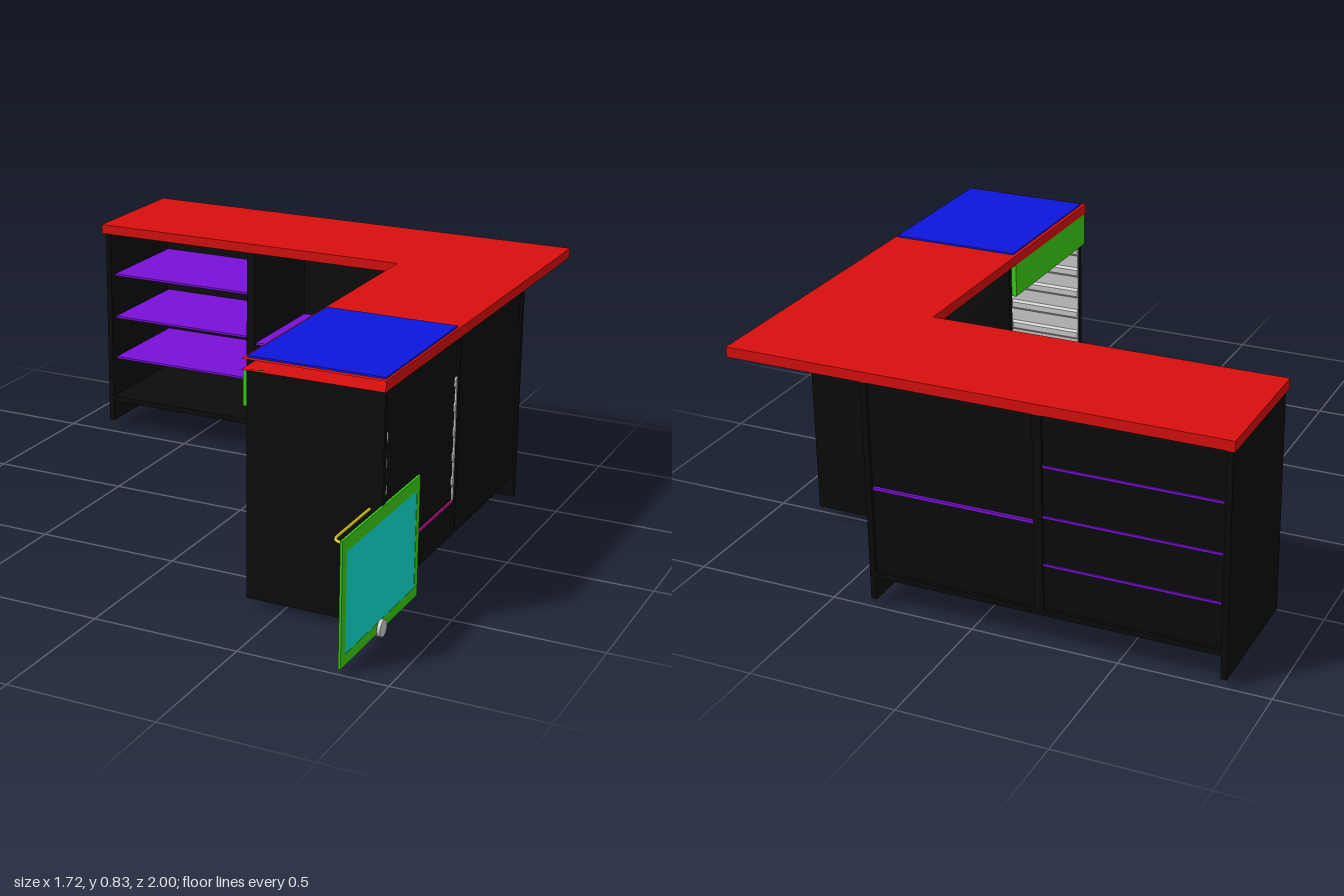
import * as THREE from 'three';

const mat = (color, side = THREE.FrontSide) => new THREE.MeshStandardMaterial({ color, side });
const BLACK = mat(0x0b0b0b), RED = mat(0xd80e0e), RED_SHEET = mat(0xd80e0e, THREE.DoubleSide);
const PURPLE = mat(0x7a10d8), BLUE = mat(0x0c16dc), GREEN = mat(0x3acc14), CYAN = mat(0x10dfd0);
const YELLOW = mat(0xdccb10), MAGENTA = mat(0xb8128c), GREY = mat(0xcccccc);

export function createModel() {
  const model = new THREE.Group();

  const add = (parent, name, geometry, material) => {
    const mesh = new THREE.Mesh(geometry, material);
    mesh.name = name;
    parent.add(mesh);
    return mesh;
  };
  // box given by its min and max on each axis
  const box = (parent, name, material, x0, x1, y0, y1, z0, z1) => {
    const mesh = add(parent, name, new THREE.BoxGeometry(x1 - x0, y1 - y0, z1 - z0), material);
    mesh.position.set((x0 + x1) / 2, (y0 + y1) / 2, (z0 + z1) / 2);
    return mesh;
  };
  const group = (name) => {
    const g = new THREE.Group();
    g.name = name;
    model.add(g);
    return g;
  };

  // Worktops: hollow shells from an outline of [x, z], with walls on the chosen edges only
  const TOP = 0.825, UNDER = 0.79;
  function worktop(name, outline, edges) {
    const g = group(name);
    const shape = new THREE.Shape(outline.map(([x, z]) => new THREE.Vector2(x, -z)));
    for (const [part, y] of [['topFace', TOP], ['underside', UNDER]]) {
      add(g, part, new THREE.ShapeGeometry(shape).rotateX(-Math.PI / 2), RED_SHEET).position.y = y;
    }
    for (const i of edges) {
      const [x0, z0] = outline[i], [x1, z1] = outline[(i + 1) % outline.length];
      const wall = add(g, 'edge', new THREE.PlaneGeometry(Math.hypot(x1 - x0, z1 - z0), TOP - UNDER), RED);
      wall.position.set((x0 + x1) / 2, (TOP + UNDER) / 2, (z0 + z1) / 2);
      wall.rotation.y = Math.atan2(-(z1 - z0), x1 - x0);
    }
  }
  worktop('backWorktop', [[-0.86, -0.52], [0.36, -0.52], [0.6, -0.76], [0.6, -0.21],
    [0.84, -0.21], [0.84, -1], [-0.86, -1]], [0, 4, 5, 6]);
  worktop('sideWorktop', [[0.36, 0.7], [0.84, 0.7], [0.84, -0.21], [0.6, -0.21],
    [0.6, -0.76], [0.36, -0.52]], [1, 5]);

  // Back run of open cabinets
  const back = group('backCabinets');
  for (const [x0, x1, y0] of [[-0.855, -0.835, 0.03], [-0.25, -0.22, 0.11], [0.34, 0.36, 0.03]]) {
    box(back, 'uprightPanel', BLACK, x0, x1, y0, 0.79, -1, -0.54);
  }
  box(back, 'floorPanel', BLACK, -0.835, 0.34, 0.11, 0.13, -1, -0.54);
  box(back, 'backPanel', BLACK, -0.835, 0.34, 0.13, 0.79, -0.99, -0.98);
  for (const y of [0.285, 0.45, 0.62]) {
    box(back, 'shelf', PURPLE, -0.83, -0.25, y - 0.004, y + 0.004, -0.995, -0.56);
  }
  box(back, 'wideShelf', PURPLE, -0.22, 0.335, 0.424, 0.434, -1, -0.56);

  // Filler post at the inner corner
  box(model, 'cornerPost', PURPLE, 0.357, 0.382, 0.03, 0.79, -0.538, -0.515);

  // Side run of cabinets
  const side = group('sideCabinets');
  box(side, 'endPanel', BLACK, 0.38, 0.84, 0.03, 0.79, 0.68, 0.7);
  box(side, 'divider', BLACK, 0.38, 0.84, 0.11, 0.79, 0.08, 0.1);
  box(side, 'cornerPanel', BLACK, 0.38, 0.84, 0.03, 0.79, -0.515, -0.495);
  box(side, 'floorPanel', BLACK, 0.38, 0.84, 0.11, 0.13, -0.495, 0.68);
  box(side, 'backPanel', BLACK, 0.822, 0.832, 0.13, 0.79, -0.495, 0.68);

  // Oven bay: floor, ribbed liners, control panel and hob
  const bay = group('ovenBay');
  box(bay, 'bayFloor', MAGENTA, 0.38, 0.838, 0.225, 0.233, 0.1, 0.68);
  const ribs = new THREE.Shape();
  ribs.moveTo(0, 0.233);
  ribs.lineTo(0.006, 0.233);
  const count = 5, step = (0.66 - 0.233) / count;
  for (let i = 0; i < count; i++) {
    const y = 0.233 + i * step;
    ribs.lineTo(0.006, y + step * 0.55);
    ribs.lineTo(0.014, y + step * 0.65);
    ribs.lineTo(0.014, y + step * 0.9);
    ribs.lineTo(0.006, y + step);
  }
  ribs.lineTo(0, 0.66);
  const liner = new THREE.ExtrudeGeometry(ribs, { depth: 0.455, bevelEnabled: false });
  const endLiner = add(bay, 'endLiner', liner, GREY);
  endLiner.rotation.y = Math.PI / 2;
  endLiner.position.set(0.383, 0, 0.68);
  const dividerLiner = add(bay, 'dividerLiner', liner, GREY);
  dividerLiner.rotation.y = -Math.PI / 2;
  dividerLiner.position.set(0.838, 0, 0.1);
  box(bay, 'controlPanel', GREEN, 0.362, 0.38, 0.67, 0.79, 0.1, 0.69);
  box(bay, 'hob', BLUE, 0.372, 0.832, TOP, 0.831, 0.1, 0.68);

  // Detached oven door: frame, glass, bar handle and hinge roller
  const door = group('ovenDoor');
  const [dx0, dx1] = [0.836, 0.844];
  box(door, 'frameTop', GREEN, dx0, dx1, 0.386, 0.43, 0.41, 1);
  box(door, 'frameBottom', GREEN, dx0, dx1, 0.018, 0.054, 0.41, 1);
  for (const [z0, z1] of [[0.41, 0.436], [0.968, 1]]) {
    box(door, 'frameSide', GREEN, dx0, dx1, 0.054, 0.386, z0, z1);
  }
  box(door, 'glass', CYAN, 0.837, 0.843, 0.054, 0.386, 0.436, 0.968);
  const p = (x, z) => new THREE.Vector3(x, 0.412, z);
  const bar = new THREE.CurvePath();
  bar.add(new THREE.LineCurve3(p(0.838, 0.972), p(0.83, 0.972)));
  bar.add(new THREE.QuadraticBezierCurve3(p(0.83, 0.972), p(0.797, 0.972), p(0.797, 0.93)));
  bar.add(new THREE.LineCurve3(p(0.797, 0.93), p(0.797, 0.48)));
  bar.add(new THREE.QuadraticBezierCurve3(p(0.797, 0.48), p(0.797, 0.438), p(0.83, 0.438)));
  bar.add(new THREE.LineCurve3(p(0.83, 0.438), p(0.838, 0.438)));
  add(door, 'handle', new THREE.TubeGeometry(bar, 80, 0.005, 10), YELLOW);
  const roller = add(door, 'hingeRoller', new THREE.CylinderGeometry(0.028, 0.028, 0.026, 32), GREY);
  roller.rotation.z = Math.PI / 2;
  roller.position.set(0.842, 0.029, 0.705);

  return model;
}
